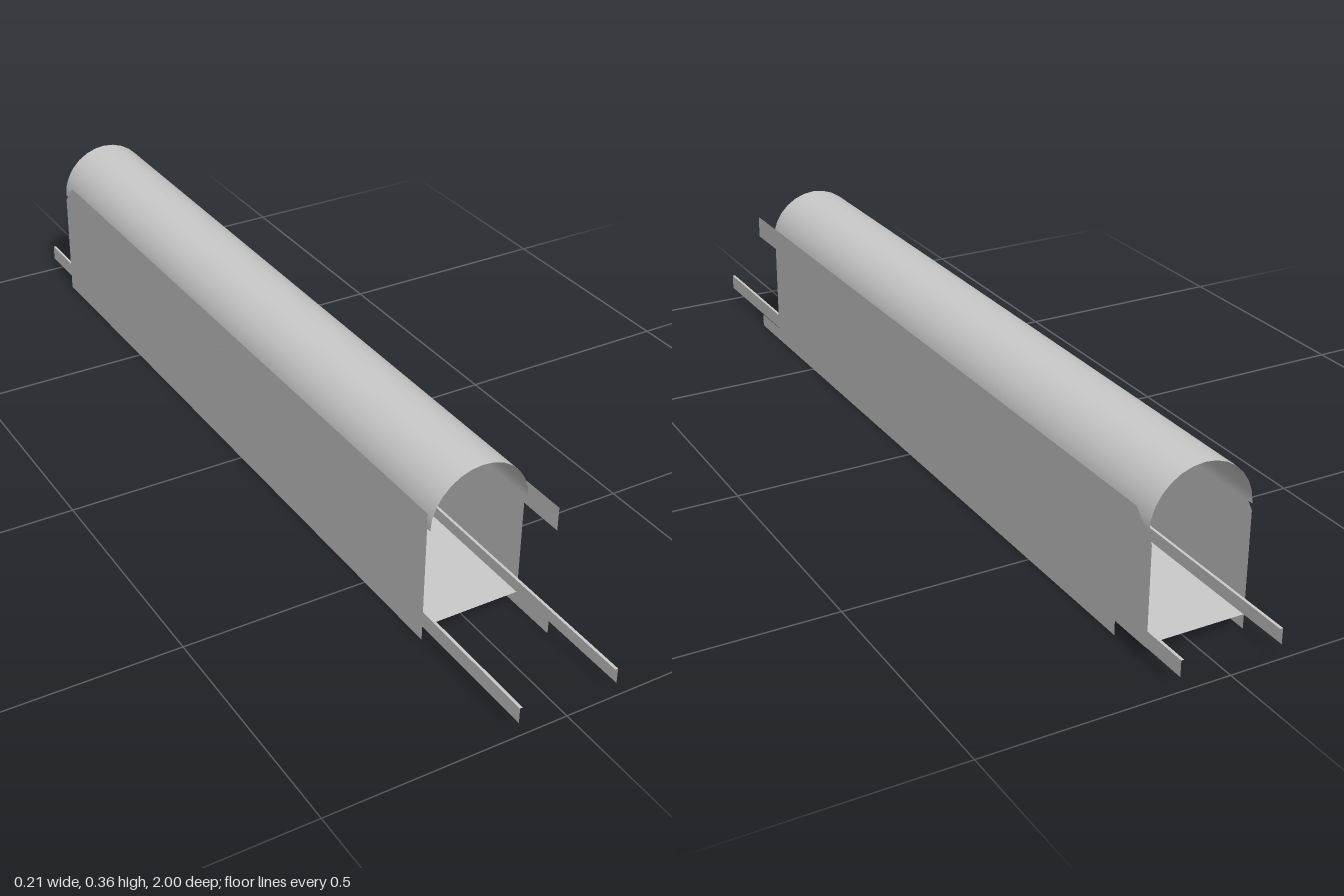
import * as THREE from 'three';

const grey = new THREE.MeshStandardMaterial({ color: 0xcccccc });
const sheet = new THREE.MeshStandardMaterial({ color: 0xcccccc, side: THREE.DoubleSide });
const flameMat = new THREE.MeshStandardMaterial({ color: 0xd08a3a });

const HALF = 0.107, FLOOR = 0.03, FRONT = 0.7, BACK = -0.89;

function add(parent, name, geometry, material = sheet) {
  const mesh = new THREE.Mesh(geometry, material);
  mesh.name = name;
  parent.add(mesh);
  return mesh;
}

// flat upright sheet at a given x, outlined by [z, y] points
function uprightSheet(x, points) {
  const shape = new THREE.Shape(points.map(([z, y]) => new THREE.Vector2(-z, y)));
  return new THREE.ShapeGeometry(shape).rotateY(Math.PI / 2).translate(x, 0, 0);
}

// flat level sheet
function levelSheet(width, length, x, y, z) {
  return new THREE.PlaneGeometry(width, length).rotateX(-Math.PI / 2).translate(x, y, z);
}

// thin rod between two points in the x-y plane
function rod(x0, y0, x1, y1, radius) {
  return new THREE.CylinderGeometry(radius, radius, Math.hypot(x1 - x0, y1 - y0), 8)
    .rotateZ(-Math.atan2(x1 - x0, y1 - y0))
    .translate((x0 + x1) / 2, (y0 + y1) / 2, 0);
}

export function createModel() {
  const tunnel = new THREE.Group();
  tunnel.name = 'tunnel';

  // left wall has joining tabs in front, matching notches behind
  add(tunnel, 'leftWall', uprightSheet(HALF, [
    [0.8, 0], [-0.8, 0], [-0.8, FLOOR], [-0.9, FLOOR], [-0.9, 0.235],
    [-0.85, 0.285], [0.8, 0.285], [0.8, 0.235], [FRONT, 0.235], [FRONT, FLOOR], [0.8, FLOOR],
  ]));
  add(tunnel, 'rightWall', uprightSheet(-HALF, [
    [FRONT, 0], [BACK, 0], [BACK, 0.24], [-0.85, 0.285], [FRONT, 0.285],
  ]));

  add(tunnel, 'floor', levelSheet(2 * HALF, FRONT - BACK, 0, FLOOR, (FRONT + BACK) / 2));

  // half-round roof
  const roofLength = 0.71 - BACK;
  const roof = new THREE.CylinderGeometry(HALF, HALF, roofLength, 14, 1, true, Math.PI / 2, Math.PI)
    .rotateX(Math.PI / 2)
    .translate(0, 0.253, (0.71 + BACK) / 2);
  add(tunnel, 'roof', roof);

  // rails: upright strip with a narrow lip along the top
  for (const [side, name] of [[1, 'leftRail'], [-1, 'rightRail']]) {
    const rail = new THREE.Group();
    rail.name = name;
    tunnel.add(rail);
    const x = side * (HALF - 0.001);
    add(rail, 'railWeb', uprightSheet(x, [[1, FLOOR], [-1, FLOOR], [-1, 0.063], [1, 0.063]]));
    add(rail, 'railLip', levelSheet(0.006, 2, x - side * 0.003, 0.063, 0));
  }

  // wall torch
  const torch = new THREE.Group();
  torch.name = 'torch';
  torch.position.z = -0.1;
  tunnel.add(torch);
  add(torch, 'handle', rod(-0.085, 0.19, -0.081, 0.243, 0.003), grey);
  add(torch, 'bracket', rod(-0.107, 0.215, -0.081, 0.222, 0.0017), grey);
  add(torch, 'collar', new THREE.CylinderGeometry(0.0055, 0.0055, 0.014, 8).translate(-0.081, 0.249, 0), grey);
  const flameProfile = [[0, 0.256], [0.002, 0.257], [0.0063, 0.263], [0.004, 0.273], [0, 0.286]]
    .map(([r, y]) => new THREE.Vector2(r, y));
  add(torch, 'flame', new THREE.LatheGeometry(flameProfile, 8).translate(-0.081, 0, 0), flameMat);

  return tunnel;
}
